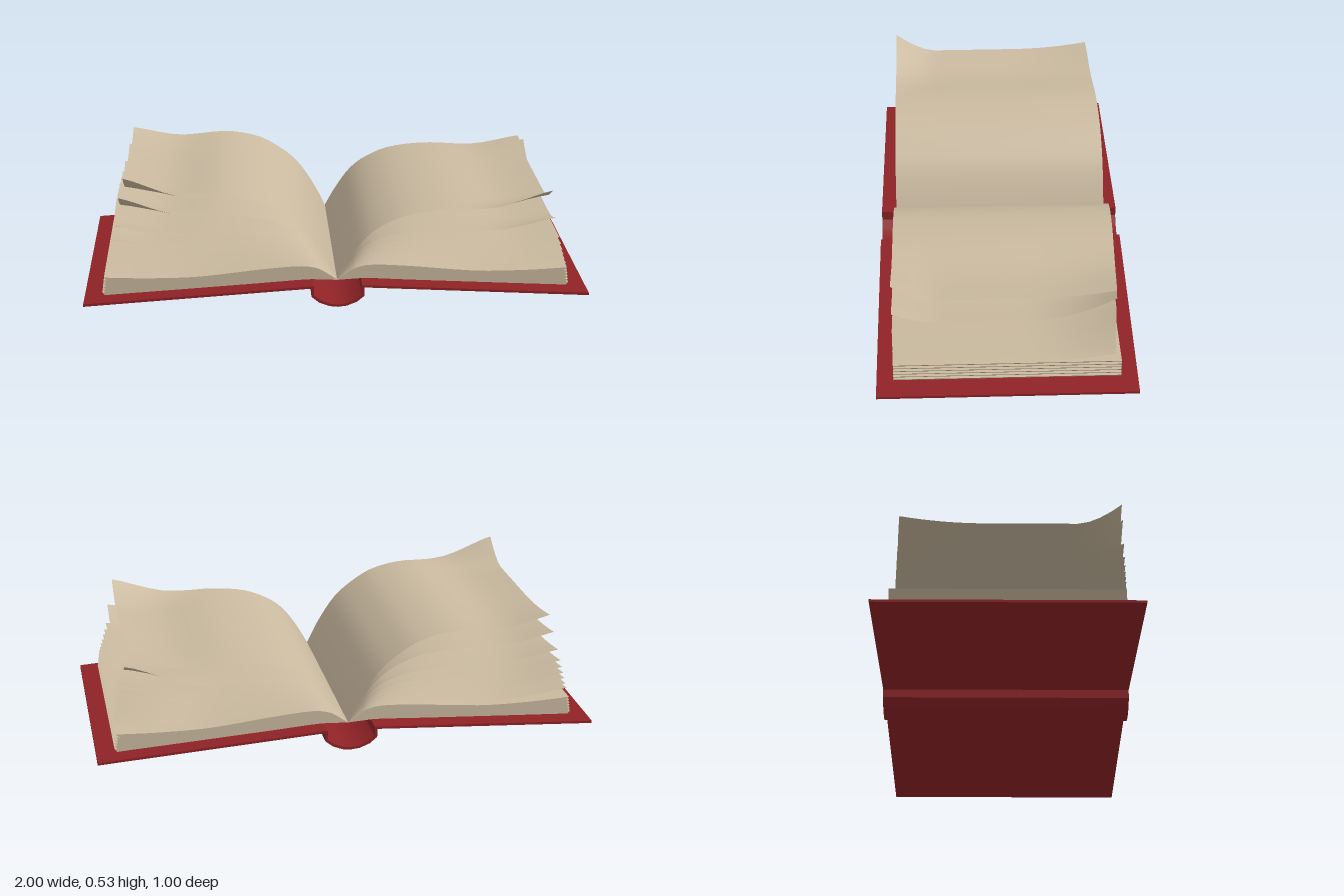
import * as THREE from 'three';
import { toCreasedNormals } from 'three/addons/utils/BufferGeometryUtils.js';

const coverMat = new THREE.MeshStandardMaterial({ color: 0x8e2226 });
const pageMat = new THREE.MeshStandardMaterial({ color: 0xc9b99f });
const sheetMat = new THREE.MeshStandardMaterial({ color: 0xc9b99f, side: THREE.DoubleSide });

// Cross-sections from the gutter to the outer edge, all with matching point counts
const UNDER = [[0, 0.088], [0.03, 0.09], [0.07, 0.092], [0.13, 0.093], [0.3, 0.082], [0.5, 0.07], [0.72, 0.057], [0.93, 0.045]];
const BLOCK = [[0, 0.09], [0.04, 0.118], [0.08, 0.14], [0.15, 0.15], [0.3, 0.14], [0.55, 0.115], [0.75, 0.113], [0.92, 0.12]];
const TOP = [[0, 0.09], [0.05, 0.19], [0.12, 0.295], [0.2, 0.365], [0.3, 0.42], [0.45, 0.445], [0.65, 0.42], [0.83, 0.445]];

// Smooth cross-section a fraction f of the way from profile a to profile b
function section(a, b, f, n = 24) {
  const pts = a.map((p, i) => new THREE.Vector2(
    THREE.MathUtils.lerp(p[0], b[i][0], f), THREE.MathUtils.lerp(p[1], b[i][1], f)));
  return new THREE.SplineCurve(pts).getPoints(n);
}

function extrude(points, depth) {
  const geo = new THREE.ExtrudeGeometry(new THREE.Shape(points), { depth, bevelEnabled: false });
  return geo.translate(0, 0, -depth / 2);
}

// Single leaf: cross-section swept along z, with front and back corners curling up
function leaf(side, f, frontCurl, backCurl) {
  const pts = section(BLOCK, TOP, f);
  const rows = 20, cols = pts.length, pos = [], index = [];
  for (let j = 0; j <= rows; j++) {
    const v = j / rows;
    for (let i = 0; i < cols; i++) {
      const t = i / (cols - 1);
      const z = THREE.MathUtils.lerp(-0.44 + 0.03 * t * t * t, 0.435, v);
      const front = Math.max(0, (z - 0.27) / 0.165);
      const back = Math.max(0, (-z - 0.08) / 0.33);
      const outer = THREE.MathUtils.smoothstep(t, 0.72, 1) ;
      const lift = outer * (frontCurl * Math.pow(front, 1.6) + backCurl * back * back);
      pos.push(side * pts[i].x, pts[i].y + lift, z);
      if (i < cols - 1 && j < rows) {
        const a = j * cols + i, b = a + cols;
        if (side > 0) index.push(a, b, a + 1, a + 1, b, b + 1);
        else index.push(a, a + 1, b, a + 1, b + 1, b);
      }
    }
  }
  const geo = new THREE.BufferGeometry();
  geo.setAttribute('position', new THREE.Float32BufferAttribute(pos, 3));
  geo.setIndex(index);
  geo.computeVertexNormals();
  return new THREE.Mesh(geo, sheetMat);
}

// Solid block of bound pages, layered with slightly slanted outer edges
function pageBlock(side) {
  const block = new THREE.Group();
  const layers = 6;
  for (let k = 0; k < layers; k++) {
    const low = section(UNDER, BLOCK, k / layers);
    const high = section(UNDER, BLOCK, (k + 1) / layers);
    low[low.length - 1].x -= 0.012;
    const outline = [...low, ...high.reverse()].map((p) => new THREE.Vector2(side * p.x, p.y));
    const mesh = new THREE.Mesh(toCreasedNormals(extrude(outline, 0.87), 0.5), pageMat);
    mesh.name = 'pageLayer';
    block.add(mesh);
  }
  return block;
}

// Boards and rounded hollow spine as one folded strip
function cover() {
  const outer = [[0, 0], [0.035, 0.004], [0.075, 0.02], [0.105, 0.045], [0.105, 0.08], [1, 0.025]];
  const inner = [[1, 0.035], [0.095, 0.09], [0.095, 0.05], [0.068, 0.029], [0.03, 0.013], [0, 0.01]];
  const half = [...outer, ...inner];
  const mirrored = half.slice(1, -1).reverse().map(([x, y]) => [-x, y]);
  const outline = [...half, ...mirrored].map(([x, y]) => new THREE.Vector2(x, y));
  return new THREE.Mesh(toCreasedNormals(extrude(outline, 1), 0.6), coverMat);
}

export function createModel() {
  const book = new THREE.Group();
  book.name = 'openBook';

  const coverMesh = cover();
  coverMesh.name = 'cover';
  book.add(coverMesh);

  // Leaves: [height fraction, front curl, back curl]
  const leaves = {
    right: [[1, 0.085, 0.03], [0.77, 0.08, 0.03], [0.53, 0.045, 0.03], [0.38, 0.03, 0.03], [0.29, 0.02, 0.03],
      [0.21, 0.015, 0.03], [0.15, 0.01, 0.025], [0.09, 0.005, 0.02], [0.03, 0, 0.02]],
    left: [[0.79, 0.07, 0.03], [0.52, 0.045, 0.1], [0.4, 0, 0.06], [0.31, 0, 0.06], [0.24, 0, 0.055],
      [0.17, 0, 0.05], [0.11, 0, 0.045], [0.06, 0, 0.04], [0.02, 0, 0.03]],
  };
  for (const [name, side] of [['left', 1], ['right', -1]]) {
    const block = pageBlock(side);
    block.name = name + 'PageBlock';
    book.add(block);

    const fan = new THREE.Group();
    fan.name = name + 'LooseLeaves';
    for (const [f, frontCurl, backCurl] of leaves[name]) {
      const sheet = leaf(side, f, frontCurl, backCurl);
      sheet.name = 'leaf';
      fan.add(sheet);
    }
    book.add(fan);
  }
  return book;
}
